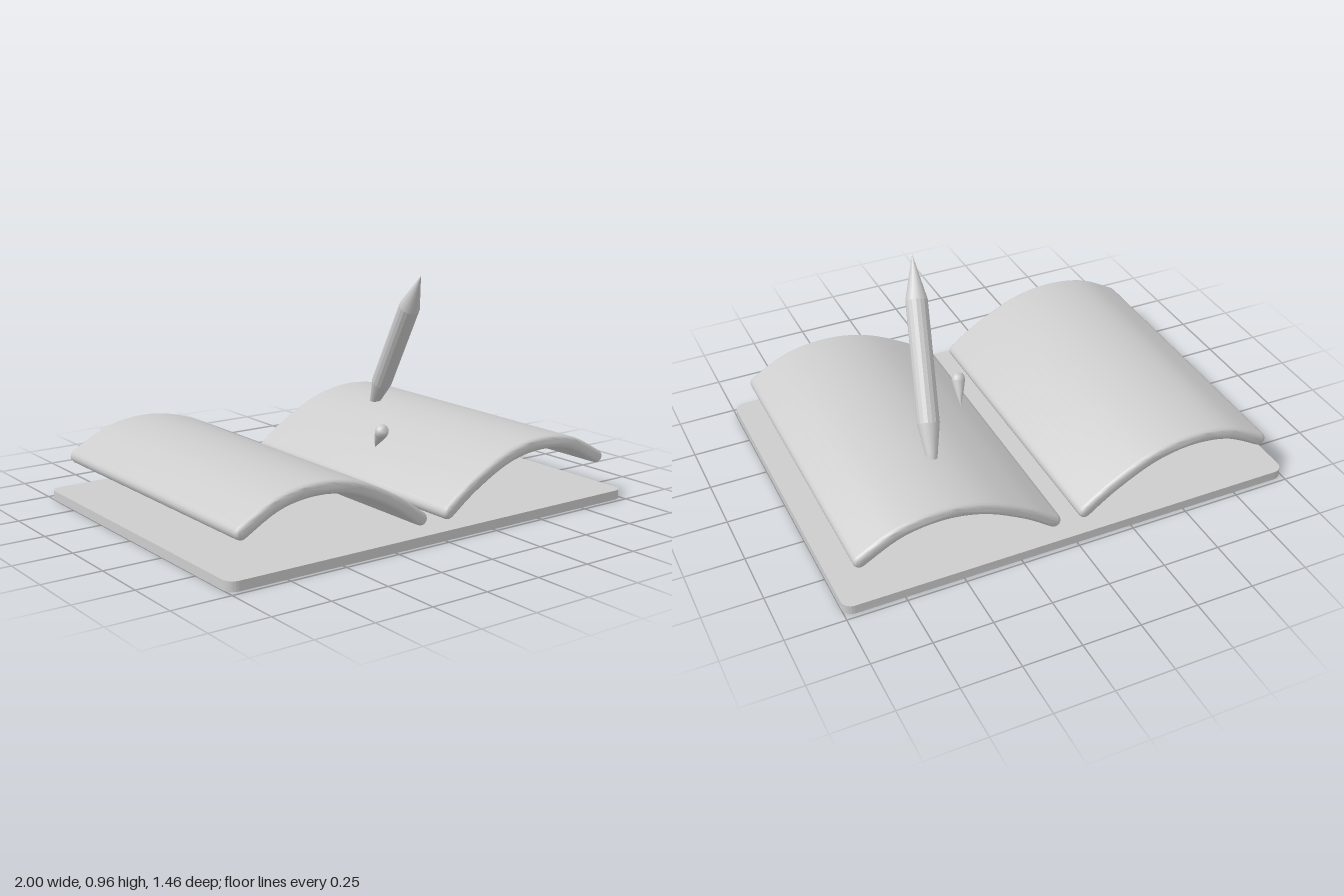
import * as THREE from 'three';
import { toCreasedNormals } from 'three/addons/utils/BufferGeometryUtils.js';

const V2 = (x, y) => new THREE.Vector2(x, y);
const V3 = (x, y, z) => new THREE.Vector3(x, y, z);

export function createModel() {
  const model = new THREE.Group();
  model.name = 'openBook';
  const grey = new THREE.MeshStandardMaterial({ color: 0xcccccc });
  grey.name = 'plain grey';

  function add(name, geometry, parent = model) {
    const mesh = new THREE.Mesh(geometry, grey);
    mesh.name = name;
    parent.add(mesh);
    return mesh;
  }

  // Flat cover board with rounded corners in plan
  const w = 1, d = 0.73, r = 0.045;
  const board = new THREE.Shape();
  board.absarc(w - r, d - r, r, 0, Math.PI / 2);
  board.absarc(-w + r, d - r, r, Math.PI / 2, Math.PI);
  board.absarc(-w + r, -d + r, r, Math.PI, Math.PI * 1.5);
  board.absarc(w - r, -d + r, r, Math.PI * 1.5, Math.PI * 2);
  const cover = new THREE.ExtrudeGeometry(board, { depth: 0.04, bevelEnabled: false, curveSegments: 6 });
  cover.rotateX(-Math.PI / 2);
  add('cover', toCreasedNormals(cover, 0.5));

  // Arched page blocks: a ribbon of even thickness with rounded edges all round
  const arch = new THREE.SplineCurve([
    V2(0.07, 0.086), V2(0.2, 0.176), V2(0.38, 0.264), V2(0.56, 0.296), V2(0.74, 0.271), V2(0.903, 0.187),
  ]);
  function pageGeometry(side) {
    const half = 0.028, steps = 28, capSteps = 6;
    const outline = [];
    const put = (t, angle) => {
      const p = arch.getPoint(t), tan = arch.getTangent(t);
      const a = Math.atan2(tan.y, tan.x) + angle;
      outline.push(V2(side * (p.x + half * Math.cos(a)), p.y + half * Math.sin(a)));
    };
    for (let i = 0; i <= steps; i++) put(i / steps, -Math.PI / 2);
    for (let i = 1; i < capSteps; i++) put(1, -Math.PI / 2 + (Math.PI * i) / capSteps);
    for (let i = steps; i >= 0; i--) put(i / steps, Math.PI / 2);
    for (let i = 1; i < capSteps; i++) put(0, Math.PI / 2 + (Math.PI * i) / capSteps);
    const bevel = 0.019;
    const g = new THREE.ExtrudeGeometry(new THREE.Shape(outline), {
      depth: 1.35 - 2 * bevel, bevelEnabled: true, bevelThickness: bevel,
      bevelSize: bevel, bevelOffset: -bevel, bevelSegments: 4,
    });
    g.translate(0, 0, -1.35 / 2 + bevel);
    return toCreasedNormals(g, 0.7);
  }
  add('leftPages', pageGeometry(1));
  add('rightPages', pageGeometry(-1));

  // Group whose +y axis runs from one point to another
  function along(name, from, to) {
    const group = new THREE.Group();
    group.name = name;
    group.position.copy(from);
    group.quaternion.setFromUnitVectors(V3(0, 1, 0), to.clone().sub(from).normalize());
    model.add(group);
    return group;
  }

  // Pencil: faceted shaft, sharp upper point, tapered lower end set into the page
  const foot = V3(0.468, 0.285, -0.35), tip = V3(0.32, 0.96, 0.168);
  const pencil = along('pencil', foot, tip);
  const length = foot.distanceTo(tip), sides = 16;
  const shaft = new THREE.LatheGeometry([V2(0.046, 0.17), V2(0.046, length - 0.19)], sides);
  add('pencilShaft', toCreasedNormals(shaft, 0.2), pencil);
  add('pencilPoint', new THREE.LatheGeometry([V2(0.046, length - 0.19), V2(0, length)], sides), pencil);
  add('pencilEnd', new THREE.LatheGeometry(
    [V2(0, 0), V2(0.012, 0.002), V2(0.02, 0.01), V2(0.027, 0.055), V2(0.046, 0.17)], sides), pencil);

  // Small loose nib hovering over the page, point downwards
  const nibTip = V3(0.161, 0.215, 0.062), nibTop = V3(0.133, 0.325, 0.157);
  const nib = along('looseNib', nibTip, nibTop);
  const n = nibTip.distanceTo(nibTop);
  add('nibBody', new THREE.LatheGeometry([V2(0, 0), V2(0.019, n * 0.45), V2(0.029, n - 0.035)], sides), nib);
  add('nibHead', new THREE.LatheGeometry(
    [V2(0.029, n - 0.035), V2(0.029, n - 0.02), V2(0.022, n - 0.005), V2(0, n)], sides), nib);

  return model;
}
